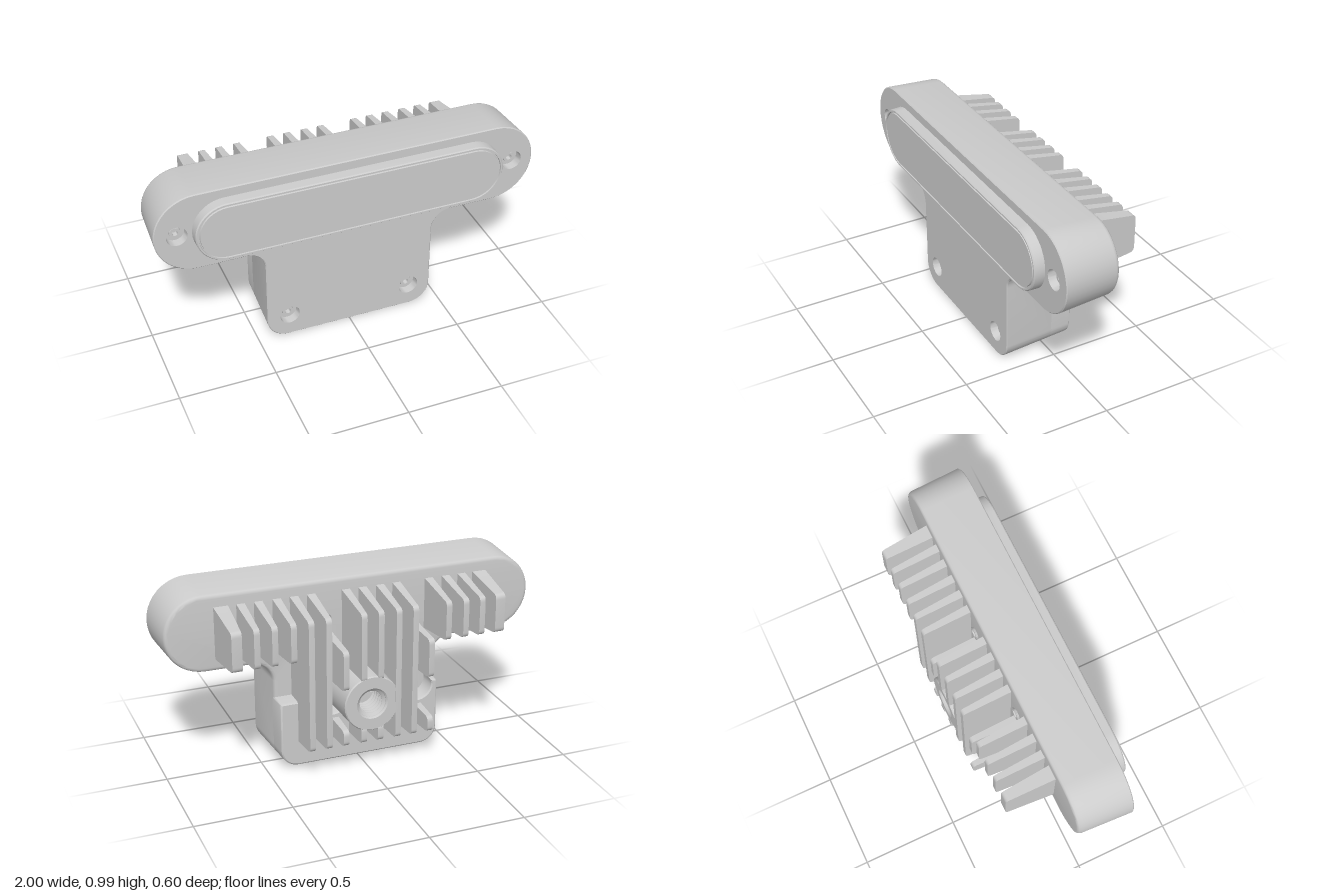
import * as THREE from 'three';
import { mergeGeometries, toCreasedNormals } from 'three/addons/utils/BufferGeometryUtils.js';

const grey = new THREE.MeshStandardMaterial({ color: 0xcccccc, side: THREE.DoubleSide });
const PI = Math.PI;
const draft = z => 0.0528 * (0.24 - z); // moulding draft, shrinking towards the back

function part(name, geo, x = 0, y = 0, z = 0) {
  const mesh = new THREE.Mesh(geo, grey);
  mesh.name = name;
  mesh.position.set(x, y, z);
  return mesh;
}

function circle(x, y, r) {
  return new THREE.Path().absarc(x, y, r, 0, PI * 2, true);
}

// Counter-clockwise outline swept through levels [z, inset] from front to back, with holed caps
function loft(shape, levels, { frontHoles = [], backHoles = [], openLevel = -1 } = {}) {
  let pts = shape.getPoints(10);
  pts = pts.filter((p, i) => p.distanceTo(pts[(i + 1) % pts.length]) > 1e-5);
  const n = pts.length;
  const inward = pts.map((p, i) => {
    const t = pts[(i + 1) % n].clone().sub(pts[(i + n - 1) % n]).normalize();
    return new THREE.Vector2(-t.y, t.x);
  });
  const ring = d => pts.map((p, i) => p.clone().addScaledVector(inward[i], d));
  const pos = [];
  for (let j = 0; j < levels.length - 1; j++) {
    const [z0, d0] = levels[j], [z1, d1] = levels[j + 1];
    const A = ring(d0), B = ring(d1);
    for (let i = 0; i < n; i++) {
      const k = (i + 1) % n;
      // leave the flat underside open for the port panel
      if (j === openLevel && pts[i].y < 1e-4 && pts[k].y < 1e-4) continue;
      const a = [A[i].x, A[i].y, z0], b = [A[k].x, A[k].y, z0];
      const c = [B[k].x, B[k].y, z1], d = [B[i].x, B[i].y, z1];
      pos.push(...a, ...d, ...b, ...b, ...d, ...c);
    }
  }
  const wall = new THREE.BufferGeometry();
  wall.setAttribute('position', new THREE.Float32BufferAttribute(pos, 3));
  const cap = ([z, d], holes, back) => {
    const s = new THREE.Shape(ring(d));
    s.holes.push(...holes);
    const g = new THREE.ShapeGeometry(s, 16).translate(0, 0, z);
    if (back) g.index.array.reverse();
    const flat = g.toNonIndexed();
    flat.deleteAttribute('uv');
    flat.deleteAttribute('normal');
    return flat;
  };
  const all = mergeGeometries([wall, cap(levels[0], frontHoles, false), cap(levels.at(-1), backHoles, true)]);
  return toCreasedNormals(all, 0.6);
}

function stadium(x, y, halfLength, r) {
  const s = new THREE.Shape();
  s.absarc(x + halfLength - r, y, r, -PI / 2, PI / 2, false);
  s.absarc(x - halfLength + r, y, r, PI / 2, PI * 1.5, false);
  return s;
}

function lathe(profile, back) {
  const g = new THREE.LatheGeometry(profile.map(p => new THREE.Vector2(...p)), 32);
  return toCreasedNormals(g.rotateX(back ? -PI / 2 : PI / 2), 0.6);
}

// Cooling fin: side profile between two heights, rounded outside, thinner towards its tip
function fin(x, bottom, top, wide, bottomDrop = 0.01, topDrop = 0.01) {
  const tip = 0.3, root = 0.035, r = 0.03;
  const s = new THREE.Shape();
  s.moveTo(root, bottom);
  s.lineTo(tip - r, bottom + bottomDrop);
  s.quadraticCurveTo(tip, bottom + bottomDrop, tip, bottom + bottomDrop + r);
  s.lineTo(tip, top - topDrop - r);
  s.quadraticCurveTo(tip, top - topDrop, tip - r, top - topDrop);
  s.lineTo(root, top);
  const g = new THREE.ExtrudeGeometry(s, { depth: 2, bevelEnabled: false, curveSegments: 6 });
  g.translate(0, 0, -1).rotateY(PI / 2);
  const p = g.attributes.position;
  for (let i = 0; i < p.count; i++) {
    const t = (-p.getZ(i) - root) / (tip - root);
    const half = wide ? 0.038 - 0.012 * t : 0.022 - 0.007 * t;
    p.setX(i, p.getX(i) * half);
  }
  g.deleteAttribute('normal');
  return part('coolingFin', toCreasedNormals(g, 0.6), x);
}

export function createModel() {
  const model = new THREE.Group();
  const frontScrews = [[-0.885, 0.775], [0.885, 0.775], [-0.33, 0.125], [0.33, 0.125]];
  const notchX = [0.15, -0.32];
  const backScrews = notchX.flatMap(x => [[x, 0.77], [x, 0.37]]);

  // T-shaped housing
  const tee = new THREE.Shape();
  tee.moveTo(-0.34, 0);
  tee.absarc(0.34, 0.11, 0.11, -PI / 2, 0, false);
  tee.absarc(0.55, 0.46, 0.1, PI, PI / 2, true);
  tee.absarc(0.785, 0.775, 0.215, -PI / 2, PI / 2, false);
  tee.absarc(-0.785, 0.775, 0.215, PI / 2, PI * 1.5, false);
  tee.absarc(-0.55, 0.46, 0.1, PI / 2, 0, true);
  tee.absarc(-0.34, 0.11, 0.11, PI, PI * 1.5, false);
  model.add(part('housing', loft(tee,
    [[0.245, 0.005], [0.24, 0], [-0.025, draft(-0.025)], [-0.037, 0.018], [-0.043, 0.024], [-0.045, 0.034]], {
      frontHoles: frontScrews.map(([x, y]) => circle(x, y, 0.053)),
      backHoles: backScrews.map(([x, y]) => circle(x, y, 0.03)),
      openLevel: 1,
    })));

  // Thicker lower back, notched around the two lower screws
  const pad = new THREE.Shape();
  pad.moveTo(-0.34, 0);
  pad.absarc(0.34, 0.11, 0.11, -PI / 2, 0, false);
  pad.absarc(0.42, 0.365, 0.03, 0, PI / 2, false);
  for (const x of notchX) {
    pad.lineTo(x + 0.06, 0.395);
    pad.absarc(x, 0.36, 0.06, 0, PI, true);
    pad.lineTo(x - 0.06, 0.395);
  }
  pad.absarc(-0.42, 0.365, 0.03, PI / 2, PI, false);
  pad.absarc(-0.34, 0.11, 0.11, PI, PI * 1.5, false);
  model.add(part('lowerBack', loft(pad,
    [[-0.02, draft(-0.02)], [-0.115, draft(-0.115)], [-0.129, 0.021], [-0.135, 0.028]], { openLevel: 0 })));

  // Raised front window with a fine groove round its edge
  model.add(part('frontWindow', loft(stadium(0, 0.775, 0.81, 0.165),
    [[0.24, 0], [0.294, 0.002], [0.3, 0.007], [0.3, 0.015], [0.292, 0.016], [0.292, 0.022], [0.3, 0.024]])));

  // Front screws in their wells
  for (const [x, y] of frontScrews) {
    model.add(part('frontScrew', lathe([[0.053, 0], [0.05, -0.045], [0.03, -0.045], [0.028, -0.03],
      [0.015, -0.03], [0.013, -0.055], [0, -0.055]], false), x, y, 0.245));
  }
  // Rear screw holes
  for (const [x, y] of backScrews) {
    model.add(part('rearScrewHole', lathe([[0.03, 0], [0.036, 0.012], [0.024, 0.012], [0.02, -0.06], [0, -0.06]],
      true), x, y, -0.045));
  }

  // Cooling fins: short ones outside, long ones on the stem, some interrupted by screws or the mount
  for (const side of [-1, 1]) {
    [0.41, 0.505, 0.595, 0.695].forEach((x, i) => model.add(fin(side * x, 0.637, 0.912, i === 3, 0.023, 0.042)));
    model.add(fin(side * 0.045, 0.155, 0.27, false));
    model.add(fin(side * 0.045, 0.49, 0.912, false, 0.01, 0.042));
  }
  for (const x of [0.32, 0.23, -0.14, -0.23]) model.add(fin(x, 0.15, 0.912, false, 0.015, 0.042));
  for (const x of [0.14, -0.32]) {
    model.add(fin(x, 0.46, 0.69, false));
    model.add(fin(x, 0.15, 0.26, false, 0.015));
  }

  // Threaded mounting boss
  const boss = [[0.155, 0], [0.148, 0.252], [0.143, 0.258], [0.083, 0.258], [0.075, 0.25]];
  for (let i = 0; i < 7; i++) {
    const h = 0.245 - i * 0.025;
    boss.push([0.075, h], [0.061, h - 0.01], [0.061, h - 0.014], [0.075, h - 0.024]);
  }
  boss.push([0.07, 0.06], [0, 0.06]);
  model.add(part('mountingBoss', lathe(boss, true), 0, 0.38, -0.04));

  // Underside with recessed port panel, sheared to follow the draft
  const under = new THREE.Shape();
  under.moveTo(-0.34, -0.24).lineTo(0.34, -0.24).lineTo(0.34, 0.115).lineTo(-0.34, 0.115);
  const opening = new THREE.Path();
  const hx = 0.3, v0 = -0.13, v1 = 0.07, r = 0.02;
  opening.absarc(hx - r, v1 - r, r, PI / 2, 0, true);
  opening.absarc(hx - r, v0 + r, r, 0, -PI / 2, true);
  opening.absarc(-hx + r, v0 + r, r, -PI / 2, -PI, true);
  opening.absarc(-hx + r, v1 - r, r, PI, PI / 2, true);
  under.holes.push(opening);
  const lower = (shape, depth, y) => {
    const g = new THREE.ExtrudeGeometry(shape, { depth, bevelEnabled: false, curveSegments: 12 });
    g.rotateX(-PI / 2);
    const p = g.attributes.position;
    for (let i = 0; i < p.count; i++) p.setY(i, p.getY(i) + y + draft(p.getZ(i)));
    g.deleteAttribute('normal');
    return toCreasedNormals(g, 0.6);
  };
  model.add(part('underside', lower(under, 0.02, 0)));
  const floor = new THREE.Shape();
  floor.moveTo(-0.31, -0.14).lineTo(0.31, -0.14).lineTo(0.31, 0.08).lineTo(-0.31, 0.08);
  model.add(part('portPanel', lower(floor, 0.01, 0.015)));
  model.add(part('portCover', lower(stadium(0.14, -0.03, 0.085, 0.032), 0.02, 0.002)));
  model.add(part('button', lower(stadium(-0.14, -0.03, 0.062, 0.055), 0.02, 0.002)));

  return model;
}
